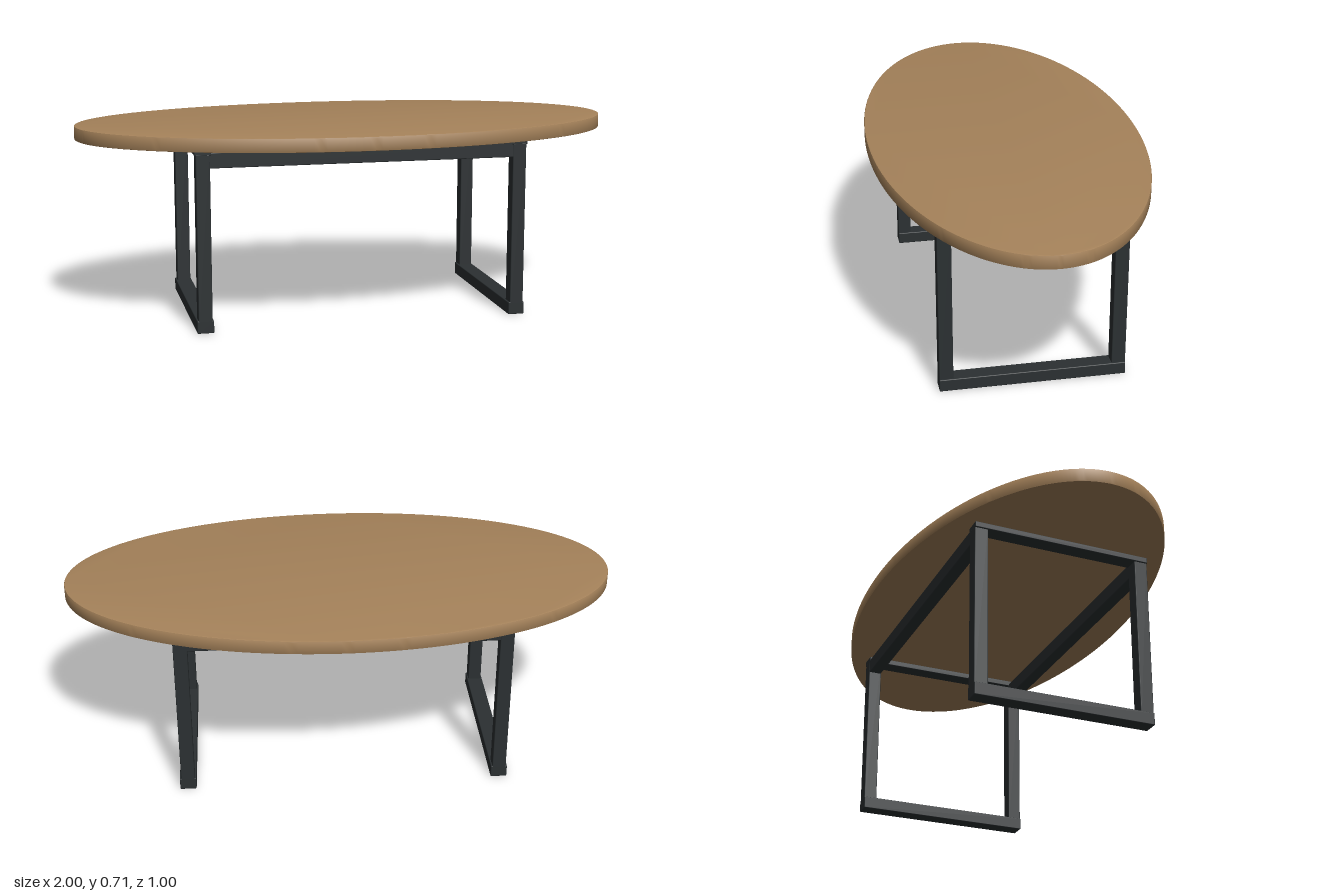
import * as THREE from 'three';
import { toCreasedNormals } from 'three/addons/utils/BufferGeometryUtils.js';
import { RoundedBoxGeometry } from 'three/addons/geometries/RoundedBoxGeometry.js';

const wood = new THREE.MeshStandardMaterial({ color: 0xa5825a });
const metal = new THREE.MeshStandardMaterial({ color: 0x2b3032 });

// Softly rounded steel bar spanning the given y range
function bar(name, width, y0, y1, depth, x, z) {
  const geometry = new RoundedBoxGeometry(width, y1 - y0, depth, 2, 0.003);
  const mesh = new THREE.Mesh(geometry, metal);
  mesh.name = name;
  mesh.position.set(x, (y0 + y1) / 2, z);
  return mesh;
}

// Oval slab with a fine eased edge
function createTabletop() {
  const bevel = 0.003, bottom = 0.66, top = 0.71;
  const oval = new THREE.Shape();
  oval.absellipse(0, 0, 1 - bevel, 0.5 - bevel, 0, Math.PI * 2);
  const slab = new THREE.ExtrudeGeometry(oval, {
    depth: top - bottom - 2 * bevel,
    curveSegments: 128,
    bevelEnabled: true,
    bevelSize: bevel,
    bevelThickness: bevel,
    bevelSegments: 2,
  });
  slab.rotateX(-Math.PI / 2);
  slab.translate(0, bottom + bevel, 0);
  const mesh = new THREE.Mesh(toCreasedNormals(slab, 0.6), wood);
  mesh.name = 'tabletop';
  return mesh;
}

// Closed rectangular leg frame: foot bar, top plate and two uprights
function createLegFrame(name, x) {
  const frame = new THREE.Group();
  frame.name = name;
  frame.add(bar('footBar', 0.06, 0, 0.046, 0.67, x, 0));
  frame.add(bar('topPlate', 0.06, 0.638, 0.66, 0.67, x, 0));
  for (const side of [1, -1]) {
    frame.add(bar(side > 0 ? 'frontLeg' : 'backLeg', 0.05, 0.04, 0.642, 0.05, x, side * 0.31));
  }
  return frame;
}

export function createModel() {
  const table = new THREE.Group();
  table.name = 'ovalTable';
  table.add(createTabletop());
  table.add(createLegFrame('leftLegFrame', 0.58), createLegFrame('rightLegFrame', -0.58));
  // Long rails joining the two frames
  for (const side of [1, -1]) {
    table.add(bar(side > 0 ? 'frontRail' : 'backRail', 1.12, 0.592, 0.648, 0.048, 0, side * 0.31));
  }
  return table;
}
